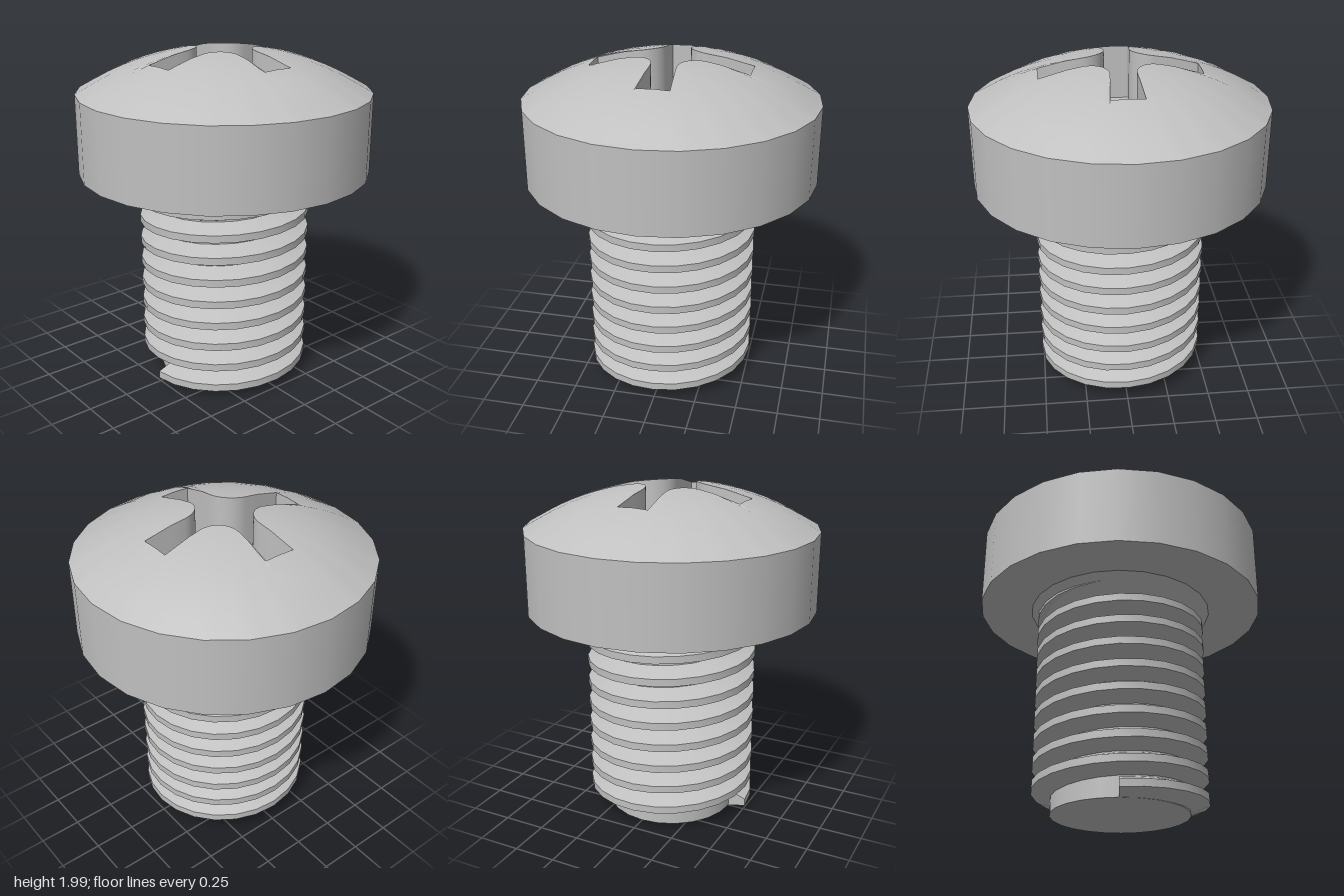
import * as THREE from 'three';
import { toCreasedNormals } from 'three/addons/utils/BufferGeometryUtils.js';

const SIDES = 24, HEAD_R = 0.86, RIM_Y = 1.745, HEAD_Y = 1.275, ROOT_R = 0.40;
const DEG = Math.PI / 180;

// Surface from a grid of points; the outside lies along d/di x d/dj
function grid(rows, cols, point, crease = 0.5) {
  const pos = [], index = [];
  for (let i = 0; i <= rows; i++) for (let j = 0; j <= cols; j++) pos.push(...point(i, j));
  for (let i = 0; i < rows; i++) for (let j = 0; j < cols; j++) {
    const a = i * (cols + 1) + j, d = a + cols + 1;
    index.push(a, d, d + 1, a, d + 1, a + 1);
  }
  const g = new THREE.BufferGeometry();
  g.setAttribute('position', new THREE.Float32BufferAttribute(pos, 3));
  g.setIndex(index);
  return toCreasedNormals(g, crease);
}

const polar = (r, y, t) => [r * Math.cos(t), y, -r * Math.sin(t)];

// Angles around the cross recess, one octant mirrored eight times
const octant = [0, 11.31, 15, 19.17, 22, 26, 30, 35, 40];
const angles = [];
for (let q = 0; q < 4; q++) {
  for (const a of octant) angles.push((q * 90 + a) * DEG);
  for (const a of [45, ...octant.slice(1).reverse()]) angles.push((q * 90 + 90 - a) * DEG);
}
angles.push(2 * Math.PI);

// Radius of the cross outline: flared arms joined by round corners
function crossRadius(t) {
  let a = t % (Math.PI / 2);
  if (a > Math.PI / 4) a = Math.PI / 2 - a;
  const c = Math.cos(a), s = Math.sin(a);
  if (a <= 11.32 * DEG) return 0.46 / c;
  if (a < 19.16 * DEG) {
    const slope = (0.092 - 0.073) / (0.46 - 0.21);
    return (0.073 - slope * 0.21) / (s - slope * c);
  }
  const b = 0.21 * (c + s);
  return b - Math.sqrt(Math.max(0, b * b - (2 * 0.21 * 0.21 - 0.137 * 0.137)));
}

// Radius of the many-sided head edge
function headRadius(t) {
  const step = 2 * Math.PI / SIDES;
  const off = t - Math.floor(t / step + 1e-6) * step - step / 2;
  return HEAD_R * Math.cos(step / 2) / Math.cos(off);
}

// Spherical top, its height at a share k of the head radius
const BALL = 1.552;
const domeY = (k) => 2 - BALL + Math.sqrt(BALL * BALL - (k * HEAD_R) ** 2) - 0.0005 * k;

export function createModel() {
  const group = new THREE.Group();
  const steel = new THREE.MeshStandardMaterial({ color: 0xc0c0c0 });
  steel.name = 'steel';
  const add = (name, geometry, y = 0) => {
    const mesh = new THREE.Mesh(geometry, steel);
    mesh.name = name;
    mesh.position.y = y;
    group.add(mesh);
    return mesh;
  };

  // Domed top around the cross recess
  const rings = 8, cols = angles.length - 1;
  add('headDome', grid(rings, cols, (i, j) => {
    const t = angles[j], outer = headRadius(t);
    const r = THREE.MathUtils.lerp(crossRadius(t), outer, i / rings);
    return polar(r, i === rings ? RIM_Y : domeY(r / outer), t);
  }));

  // Recess floor and walls
  const floorY = 1.6;
  add('crossRecess', grid(2, cols, (i, j) => {
    const t = angles[j], r = crossRadius(t);
    return polar(i ? r : 0, i === 2 ? domeY(r / headRadius(t)) : floorY, t);
  }));

  // Head side and underside
  add('headSide', new THREE.CylinderGeometry(HEAD_R, HEAD_R, RIM_Y - HEAD_Y, SIDES, 1, true), (RIM_Y + HEAD_Y) / 2);
  const under = new THREE.RingGeometry(0.5, HEAD_R, SIDES, 1, Math.PI / 2);
  under.rotateX(Math.PI / 2);
  add('headUnderside', under, HEAD_Y);

  // Sloped neck and plain core
  add('neck', new THREE.CylinderGeometry(0.55, ROOT_R, 0.145, SIDES, 1, true), HEAD_Y - 0.0725);
  add('shankCore', new THREE.CylinderGeometry(ROOT_R, ROOT_R, 1.2, SIDES), 0.6);

  // Right-hand thread with a blunt start, swept upwards from the left of the tip
  const pitch = 0.135, turns = 9, startY = 0.047;
  const profile = [[ROOT_R - 0.005, 0.065], [0.51, 0.022], [0.51, -0.022], [ROOT_R - 0.005, -0.065]];
  add('thread', grid(3, turns * SIDES + 1, (i, j) => {
    const n = Math.max(0, j - 1), t = -Math.PI + n * 2 * Math.PI / SIDES;
    const y = startY + pitch * n / SIDES;
    if (j === 0) return polar(ROOT_R, y, t); // closes the start
    return polar(profile[i][0], Math.max(0, y + profile[i][1]), t);
  }));

  return group;
}
